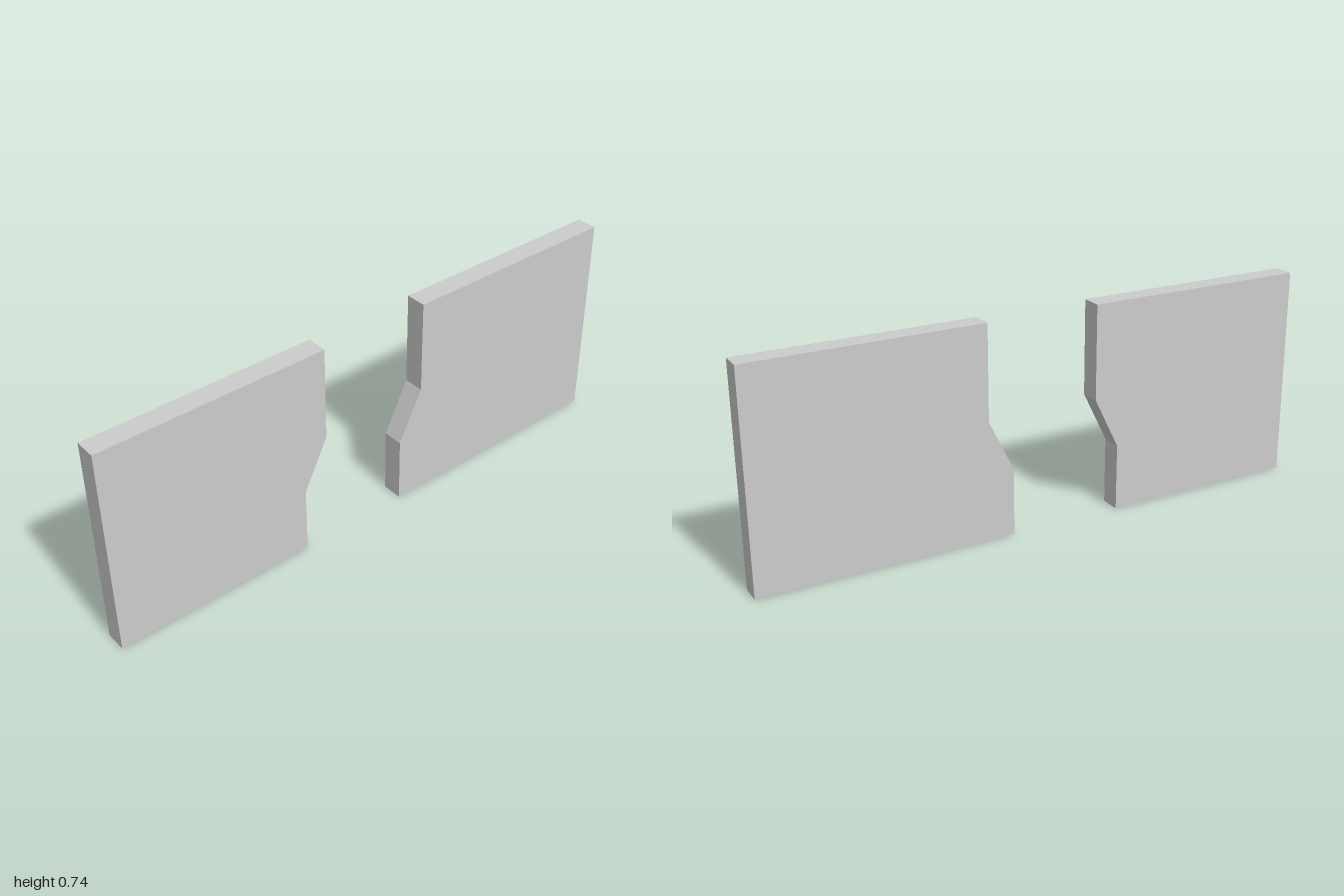
import * as THREE from 'three';

const HEIGHT = 0.742, DEPTH = 0.073;
const BEND_TOP = 0.413, BEND_BOTTOM = 0.233;

// Upright slab whose inner edge steps sideways from topX to bottomX
function makePanel(name, outerX, topX, bottomX, material) {
  const outline = new THREE.Shape([
    [outerX, 0],
    [bottomX, 0],
    [bottomX, BEND_BOTTOM],
    [topX, BEND_TOP],
    [topX, HEIGHT],
    [outerX, HEIGHT],
  ].map(([x, y]) => new THREE.Vector2(x, y)));
  const geometry = new THREE.ExtrudeGeometry(outline, { depth: DEPTH, bevelEnabled: false });
  geometry.translate(0, 0, -DEPTH / 2);
  const panel = new THREE.Mesh(geometry, material);
  panel.name = name;
  return panel;
}

export function createModel() {
  const group = new THREE.Group();
  group.name = 'splitPanel';
  const material = new THREE.MeshStandardMaterial({ color: 0xcccccc, flatShading: true });

  // The two inner edges run parallel, leaving a gap of constant width
  group.add(makePanel('rightPanel', -1, -0.2, -0.289, material));
  group.add(makePanel('leftPanel', 1, 0.2, 0.111, material));
  return group;
}
